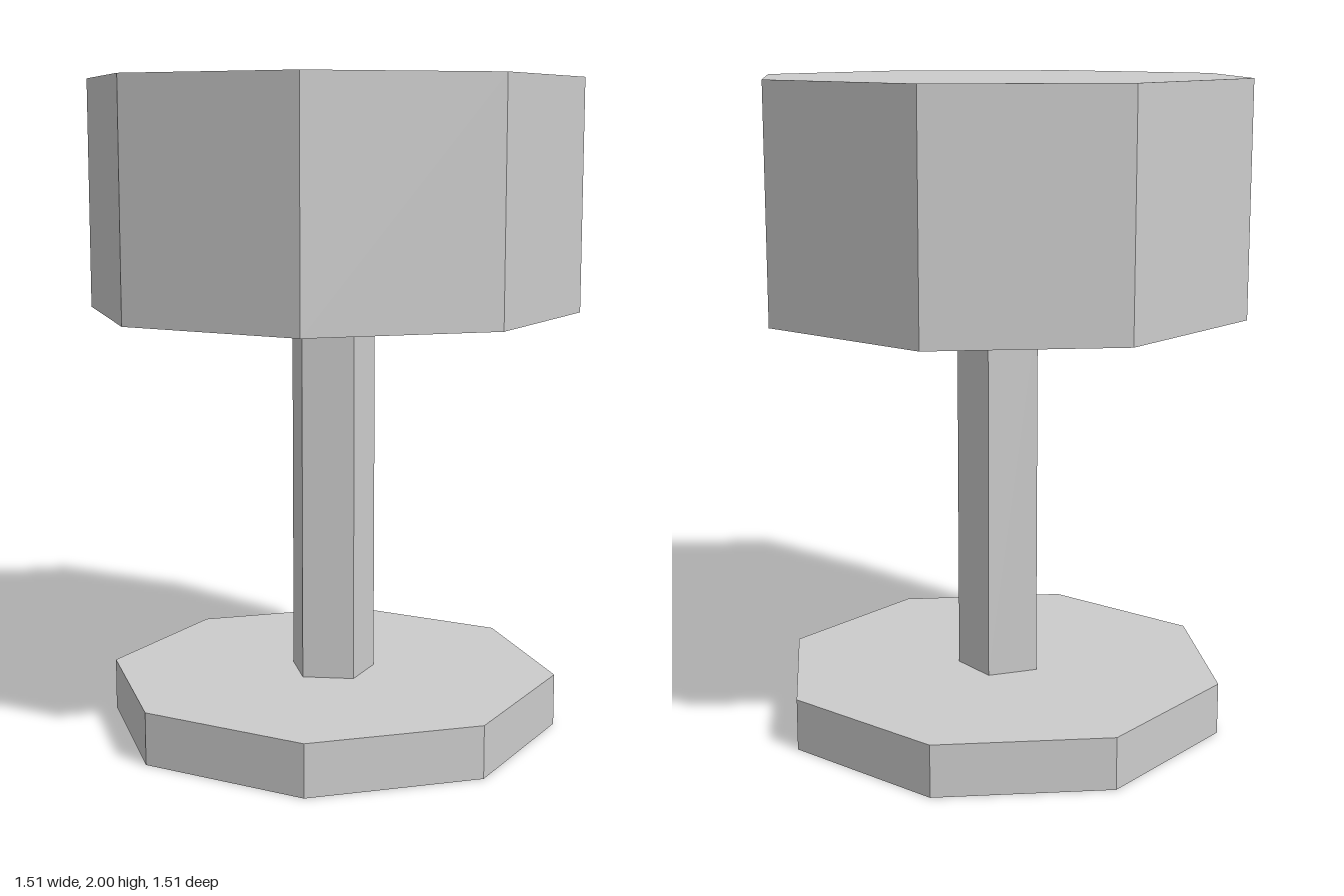
import * as THREE from 'three';

export function createModel() {
  const group = new THREE.Group();
  const grey = new THREE.MeshStandardMaterial({ color: 0xcccccc, flatShading: true });
  grey.name = 'light grey';

  // Upright prism between two heights
  function prism(name, radius, bottom, top, sides, turn = 0) {
    const mesh = new THREE.Mesh(
      new THREE.CylinderGeometry(radius, radius, top - bottom, sides), grey);
    mesh.name = name;
    mesh.position.y = (bottom + top) / 2;
    mesh.rotation.y = turn;
    group.add(mesh);
  }

  prism('base', 0.70, 0, 0.16, 8);
  prism('stem', 0.135, 0.16, 1.30, 5, Math.PI); // five sides, flat face to the front
  prism('seat', 0.755, 1.30, 2.00, 8);

  return group;
}
